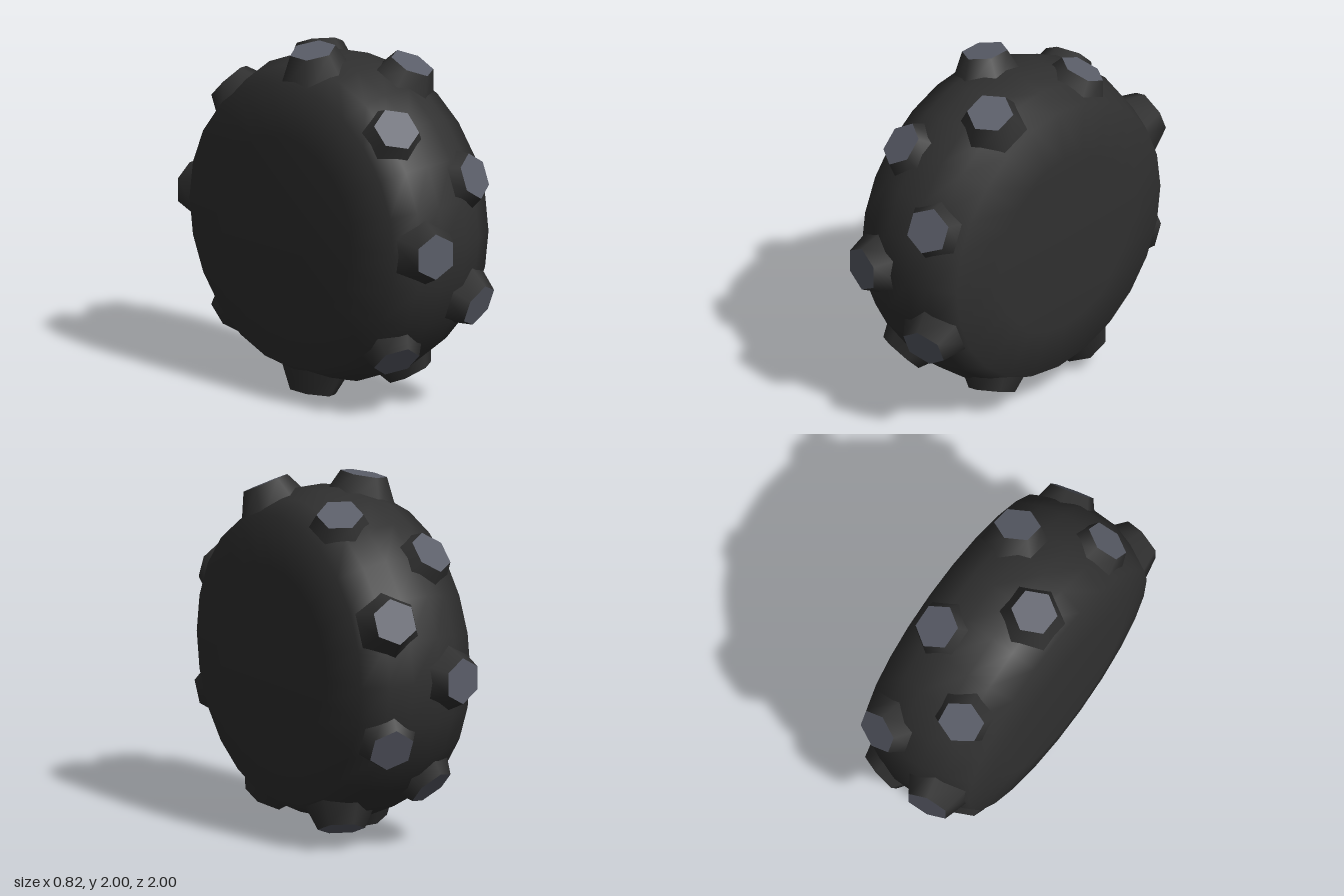
import * as THREE from 'three';

export function createModel() {
  const model = new THREE.Group();
  model.name = 'studdedWheel';
  const rubber = new THREE.MeshStandardMaterial({ name: 'dark rubber', color: 0x303030 });
  const steel = new THREE.MeshStandardMaterial({ name: 'grey stud face', color: 0x5b5e69 });

  // Tyre body: symmetric rounded profile turned about the x axis
  const half = [[0.52, 0.41], [0.81, 0.362], [0.88, 0.22], [0.92, 0.09]];
  const profile = [
    [0, -0.41],
    ...half.map(([r, w]) => [r, -w]),
    ...half.slice().reverse(),
    [0, 0.41],
  ].map(([r, w]) => new THREE.Vector2(r, w));
  const bodyGeo = new THREE.LatheGeometry(profile, 24);
  bodyGeo.rotateZ(Math.PI / 2);
  bodyGeo.rotateX(Math.PI / 2);
  const body = new THREE.Mesh(bodyGeo, rubber);
  body.name = 'tyreBody';
  body.position.y = 1;
  model.add(body);

  // Hexagonal stud: tapered block with a grey outer face at its origin
  const depth = 0.2;
  const studGeo = new THREE.CylinderGeometry(0.13, 0.225, depth, 6);
  studGeo.translate(0, -depth / 2, 0);
  studGeo.rotateX(Math.PI / 2);

  // Sixteen studs alternate between two rows, with two heights
  for (let i = 0; i < 16; i++) {
    const side = i % 2 ? 1 : -1;
    const high = i % 4 === 0 || i % 4 === 3;
    const arm = new THREE.Group();
    arm.name = 'studMount' + i;
    arm.position.y = 1;
    arm.rotation.x = -i * Math.PI / 8;
    const stud = new THREE.Mesh(studGeo, [rubber, steel, rubber]);
    stud.name = 'stud' + i;
    stud.position.set(side * 0.2, 0, high ? 0.978 : 0.942);
    stud.rotation.y = side * (high ? 0.2 : 0.25);
    arm.add(stud);
    model.add(arm);
  }
  return model;
}
